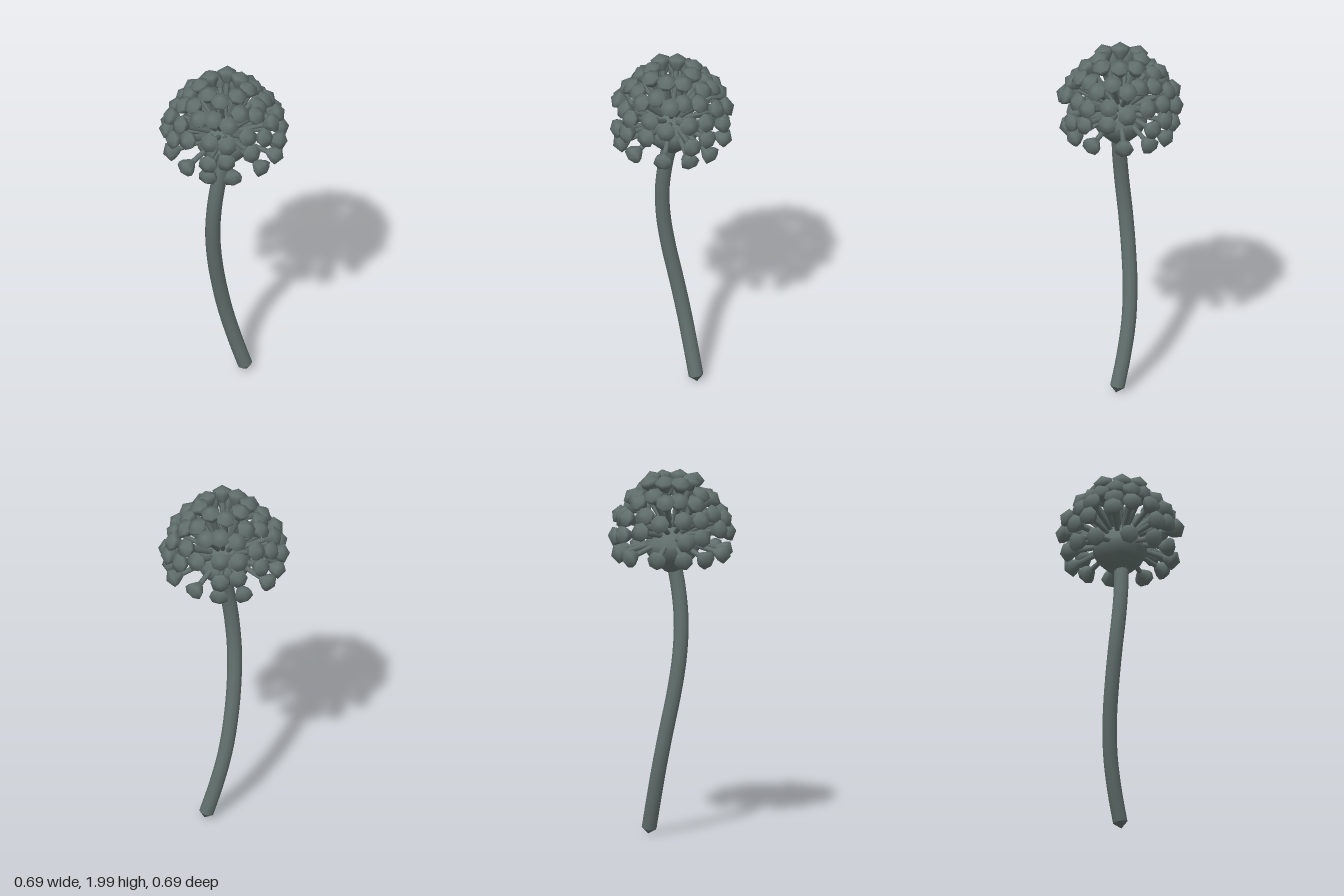
import * as THREE from 'three';
import { mergeVertices } from 'three/addons/utils/BufferGeometryUtils.js';

const green = new THREE.MeshStandardMaterial({ color: 0x62706d });
green.name = 'greyGreen';

const UP = new THREE.Vector3(0, 1, 0);
const HUB = new THREE.Vector3(0, 1.64, 0);

// turned shape with its seam and poles welded for smooth shading
function lathe(profile, sides) {
  const turned = new THREE.LatheGeometry(profile.map(([r, y]) => new THREE.Vector2(r, y)), sides);
  turned.deleteAttribute('normal');
  turned.deleteAttribute('uv');
  const welded = mergeVertices(turned);
  welded.computeVertexNormals();
  return welded;
}

function addMesh(parent, name, geometry) {
  const mesh = new THREE.Mesh(geometry, green);
  mesh.name = name;
  parent.add(mesh);
  return mesh;
}

// one quarter of the flower buds; the head repeats it four times
const QUARTER = [
  [0.045, 1.955, 0.105], [-0.055, 1.95, 0.12],
  [0.035, 1.89, 0.182], [-0.04, 1.85, 0.218], [-0.11, 1.865, 0.16], [0.125, 1.86, 0.18],
  [0.052, 1.79, 0.262], [-0.068, 1.77, 0.282], [-0.15, 1.77, 0.228], [0.152, 1.755, 0.25],
  [0.06, 1.71, 0.305], [-0.08, 1.68, 0.30], [-0.17, 1.66, 0.265],
  [-0.165, 1.56, 0.245], [-0.04, 1.555, 0.29], [0.135, 1.56, 0.255],
];

export function createModel() {
  const model = new THREE.Group();
  model.name = 'flower';

  // curved stem with a pointed lower end
  const path = new THREE.CatmullRomCurve3([
    [0.131, 0.04, -0.042], [0.083, 0.2, -0.057], [0.03, 0.4, -0.065], [-0.012, 0.6, -0.054],
    [-0.045, 0.8, -0.03], [-0.062, 1.0, -0.005], [-0.055, 1.2, 0.014], [-0.025, 1.4, 0.016],
    [0, 1.52, 0.006],
  ].map((p) => new THREE.Vector3(...p)));
  addMesh(model, 'stem', new THREE.TubeGeometry(path, 24, 0.041, 10));

  const tip = addMesh(model, 'stemTip', lathe([[0, -0.036], [0.041, 0]], 10));
  tip.position.copy(path.getPoint(0));
  tip.quaternion.setFromUnitVectors(UP, path.getTangent(0));

  // onion-shaped core at the foot of the stalks
  addMesh(model, 'core', lathe([
    [0.038, 1.455], [0.075, 1.485], [0.122, 1.53], [0.147, 1.575], [0.147, 1.61],
    [0.125, 1.655], [0.085, 1.7], [0.04, 1.74], [0, 1.765],
  ], 16));

  // stalks and buds radiating from the core
  const budGeometry = lathe([
    [0.015, -0.055], [0.025, -0.045], [0.046, -0.014], [0.053, 0.012], [0, 0.042],
  ], 7);
  const stalkGeometry = new THREE.CylinderGeometry(0.015, 0.014, 1, 6, 1, true);
  stalkGeometry.translate(0, 0.5, 0);

  const head = new THREE.Group();
  head.name = 'flowerHead';
  model.add(head);
  for (let turn = 0; turn < 4; turn++) {
    for (const point of QUARTER) {
      const offset = new THREE.Vector3(...point).applyAxisAngle(UP, turn * Math.PI / 2).sub(HUB);
      const floret = new THREE.Group();
      floret.name = 'floret';
      floret.position.copy(HUB);
      floret.quaternion.setFromUnitVectors(UP, offset.clone().normalize());
      addMesh(floret, 'stalk', stalkGeometry).scale.y = offset.length() - 0.03;
      addMesh(floret, 'bud', budGeometry).position.y = offset.length();
      head.add(floret);
    }
  }
  return model;
}
